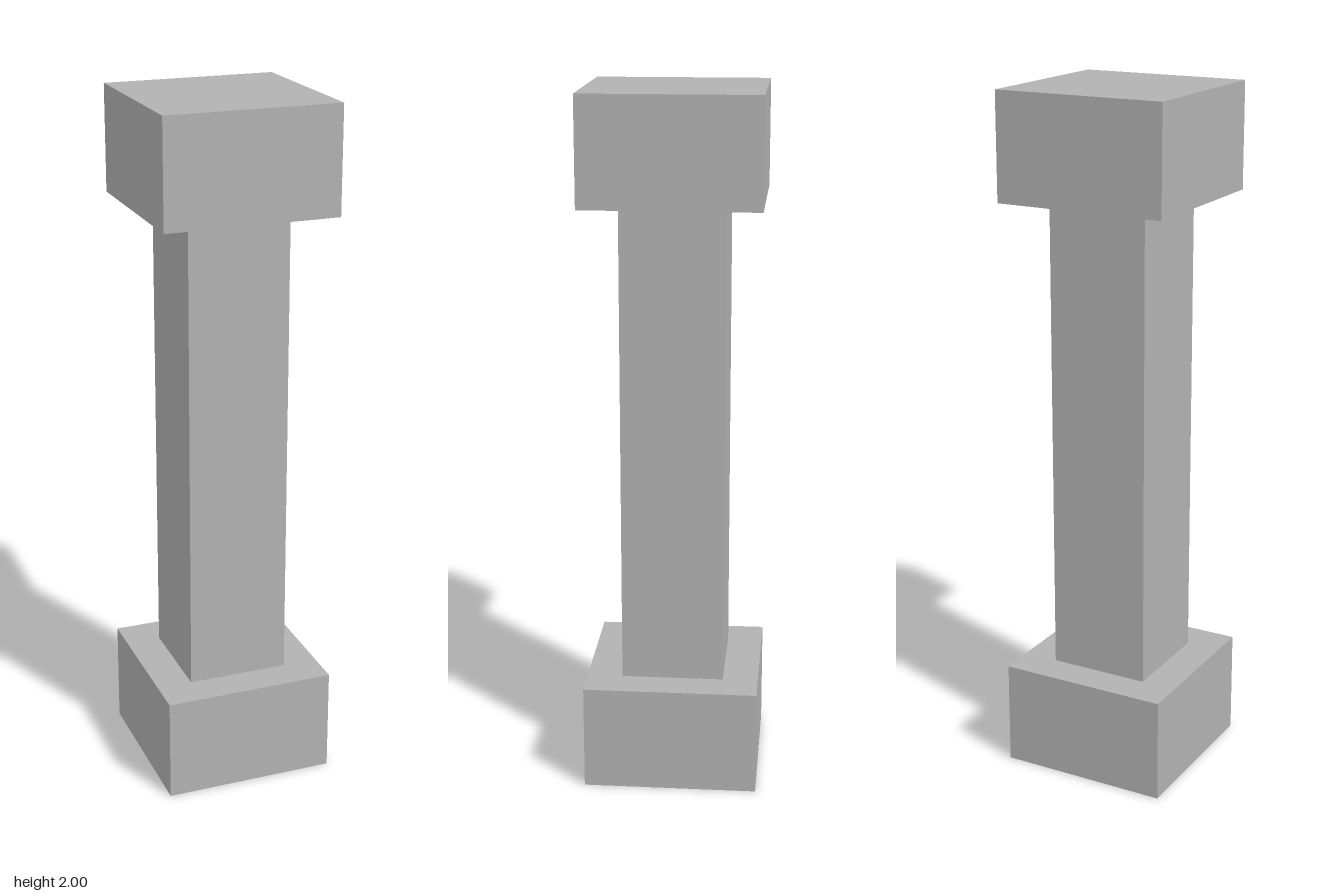
import * as THREE from 'three';

const HEIGHT = 2;
const BLOCK_WIDTH = 0.5;
const BLOCK_HEIGHT = 0.305;
const SHAFT_WIDTH = 0.295;

export function createModel() {
  const group = new THREE.Group();
  group.name = 'pillar';

  const stone = new THREE.MeshStandardMaterial({ color: 0xb2b2b2 });
  stone.name = 'grey stone';

  // Square block standing on height y
  const addBlock = (name, width, height, y) => {
    const mesh = new THREE.Mesh(new THREE.BoxGeometry(width, height, width), stone);
    mesh.name = name;
    mesh.position.y = y + height / 2;
    group.add(mesh);
  };

  // Matching base and capital with a slimmer shaft between them
  addBlock('base', BLOCK_WIDTH, BLOCK_HEIGHT, 0);
  addBlock('shaft', SHAFT_WIDTH, HEIGHT - 2 * BLOCK_HEIGHT, BLOCK_HEIGHT);
  addBlock('capital', BLOCK_WIDTH, BLOCK_HEIGHT, HEIGHT - BLOCK_HEIGHT);

  return group;
}
